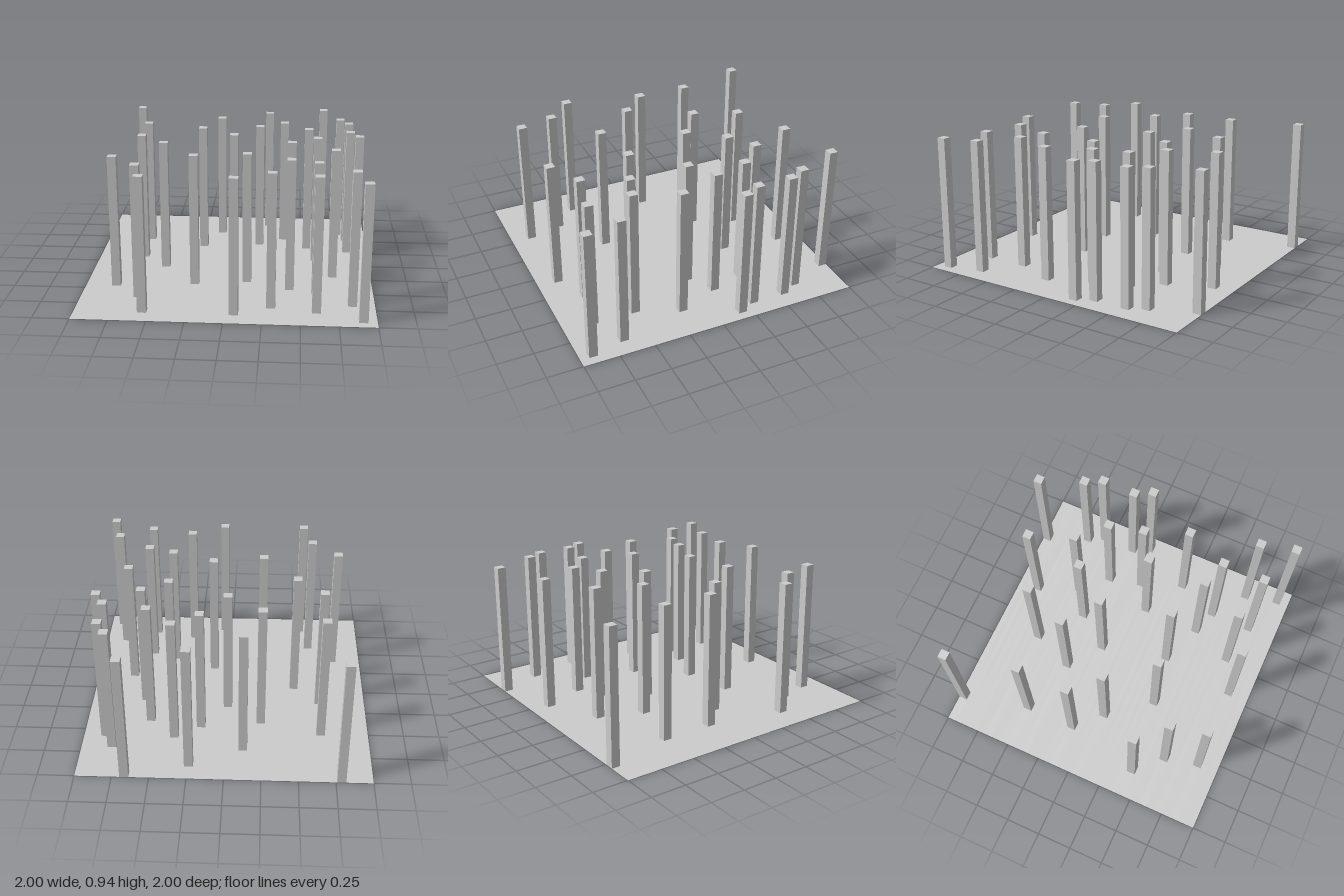
import * as THREE from 'three';
import { mergeGeometries } from 'three/addons/utils/BufferGeometryUtils.js';

const N = 33, CELL = 2 / N, HEIGHT = 0.94;

// Column cells as [row z, column x's], counted from the centre cell
const rows = [
  [-16, [-13, 11]], [-14, [4]], [-11, [-2, 13]], [-9, [6, 14]], [-8, [-11]],
  [-7, [3]], [-6, [-4, 9]], [-5, [14]], [-3, [0, 15]], [-2, [-11, 10]],
  [0, [7]], [1, [-8]], [3, [12]], [5, [2]], [6, [-4]], [7, [-13, 7]],
  [8, [10]], [10, [-10]], [11, [14]], [12, [5]], [13, [10]], [14, [-9, 1]], [15, [15]],
];

// Flat strip of ground covering cells x0..x1 of one row
function strip(x0, x1, z) {
  return new THREE.PlaneGeometry((x1 - x0 + 1) * CELL, CELL)
    .rotateX(-Math.PI / 2)
    .translate((x0 + x1) / 2 * CELL, 0, z * CELL);
}

// Square column, hollow and open at the bottom
function columnGeometry() {
  const g = new THREE.BoxGeometry(CELL, HEIGHT, CELL).translate(0, HEIGHT / 2, 0);
  const index = Array.from(g.index.array);
  index.splice(18, 6); // drop the underside
  g.setIndex(index);
  g.clearGroups();
  return g;
}

export function createModel() {
  const model = new THREE.Group();
  const material = new THREE.MeshStandardMaterial({ color: 0xcccccc, side: THREE.DoubleSide });
  const half = (N - 1) / 2;
  const columnsByRow = new Map(rows);

  // Ground sheet, left open beneath each column
  const strips = [];
  for (let z = -half; z <= half; z++) {
    let start = -half;
    for (const x of [...(columnsByRow.get(z) ?? []), half + 1]) {
      if (x > start) strips.push(strip(start, x - 1, z));
      start = x + 1;
    }
  }
  const ground = new THREE.Mesh(mergeGeometries(strips), material);
  ground.name = 'ground';
  model.add(ground);

  // Scattered columns
  const columns = new THREE.Group();
  columns.name = 'columns';
  const geometry = columnGeometry();
  for (const [z, xs] of rows) {
    for (const x of xs) {
      const column = new THREE.Mesh(geometry, material);
      column.name = 'column';
      column.position.set(x * CELL, 0, z * CELL);
      columns.add(column);
    }
  }
  model.add(columns);
  return model;
}
